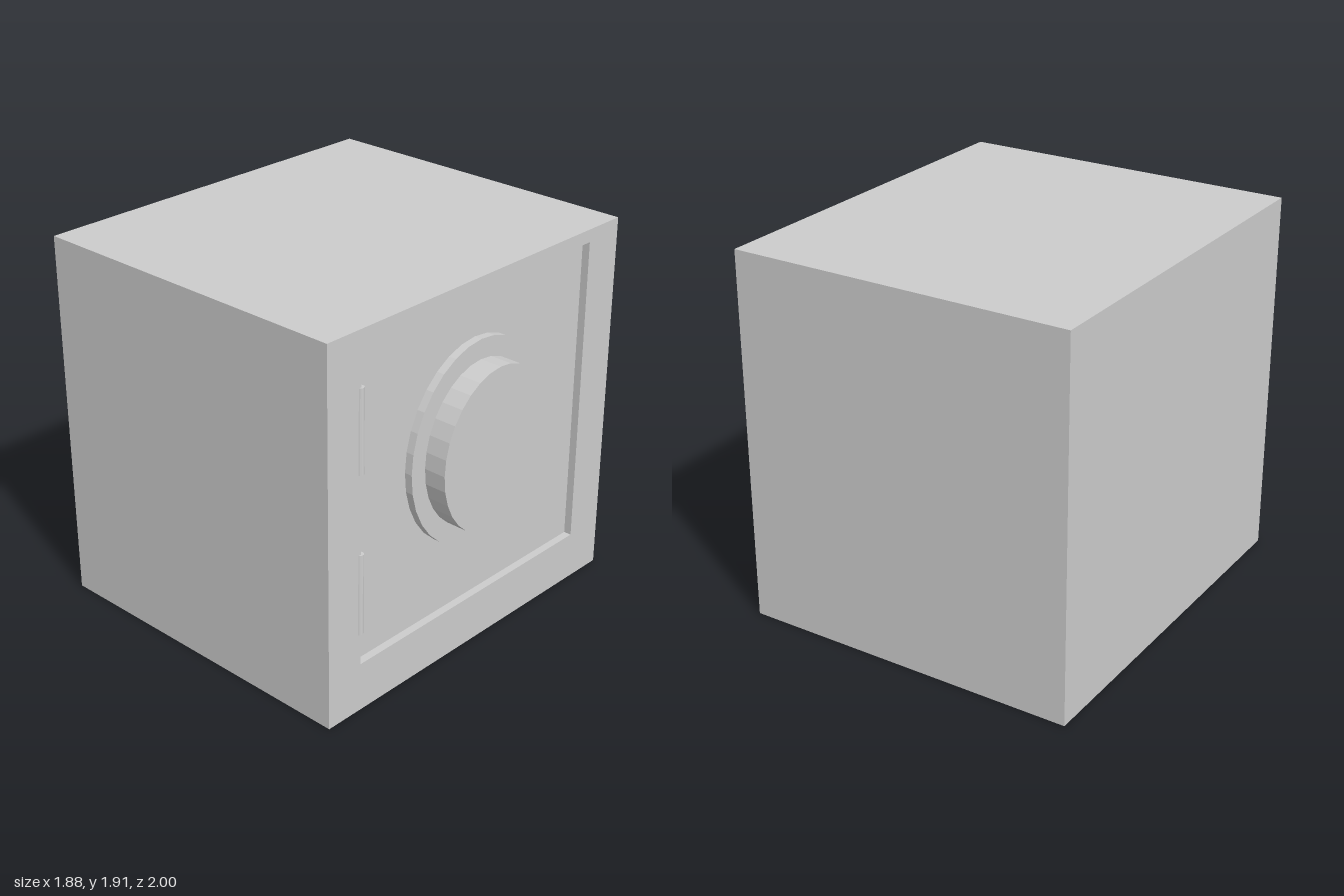
import * as THREE from 'three';

export function createModel() {
  const group = new THREE.Group();
  group.name = 'safe';
  const steel = new THREE.MeshStandardMaterial({ color: 0xcccccc, flatShading: true });
  steel.name = 'grey steel';

  const add = (name, geometry) => {
    const mesh = new THREE.Mesh(geometry, steel);
    mesh.name = name;
    group.add(mesh);
    return mesh;
  };

  // Box between two corners, open on its +x side; inward turns the faces to the inside
  const openBox = (x0, x1, y0, y1, z0, z1, inward = false) => {
    const g = new THREE.BoxGeometry(x1 - x0, y1 - y0, z1 - z0);
    g.translate((x0 + x1) / 2, (y0 + y1) / 2, (z0 + z1) / 2);
    const index = Array.from(g.index.array).slice(6);
    if (inward) index.reverse();
    g.setIndex(index);
    g.clearGroups();
    return g;
  };

  // Elliptical disc with its axis along x, centred on the door
  const disc = (x0, x1, ry, rz) => {
    const g = new THREE.CylinderGeometry(1, 1, x1 - x0, 32);
    g.rotateZ(-Math.PI / 2);
    g.scale(1, ry, rz);
    return g.translate((x0 + x1) / 2, 1.09, 0.005);
  };

  const face = 0.82, door = 0.78;

  // Cabinet shell
  add('cabinet', openBox(-0.94, face, 0, 1.91, -1, 1));

  // Frame around the door opening, drawn with shape x = -z
  const frame = new THREE.Shape([[-1, 0], [1, 0], [1, 1.91], [-1, 1.91]].map(p => new THREE.Vector2(...p)));
  frame.holes.push(new THREE.Path(
    [[-0.795, 0.25], [-0.795, 1.845], [0.78, 1.845], [0.78, 0.25]].map(p => new THREE.Vector2(...p))));
  add('doorFrame', new THREE.ShapeGeometry(frame).rotateY(Math.PI / 2).translate(face, 0, 0));

  // Recessed door with the walls of its opening
  add('door', openBox(door, face, 0.25, 1.845, -0.78, 0.795, true));

  // Dial on its backing plate
  add('dialPlate', disc(door, face, 0.515, 0.46));
  add('dial', disc(face, 0.935, 0.415, 0.37));

  // Hinges
  for (const y of [0.622, 1.436]) {
    add('hinge', new THREE.CylinderGeometry(0.02, 0.02, 0.414, 16)).position.set(0.811, y, 0.793);
  }

  return group;
}
